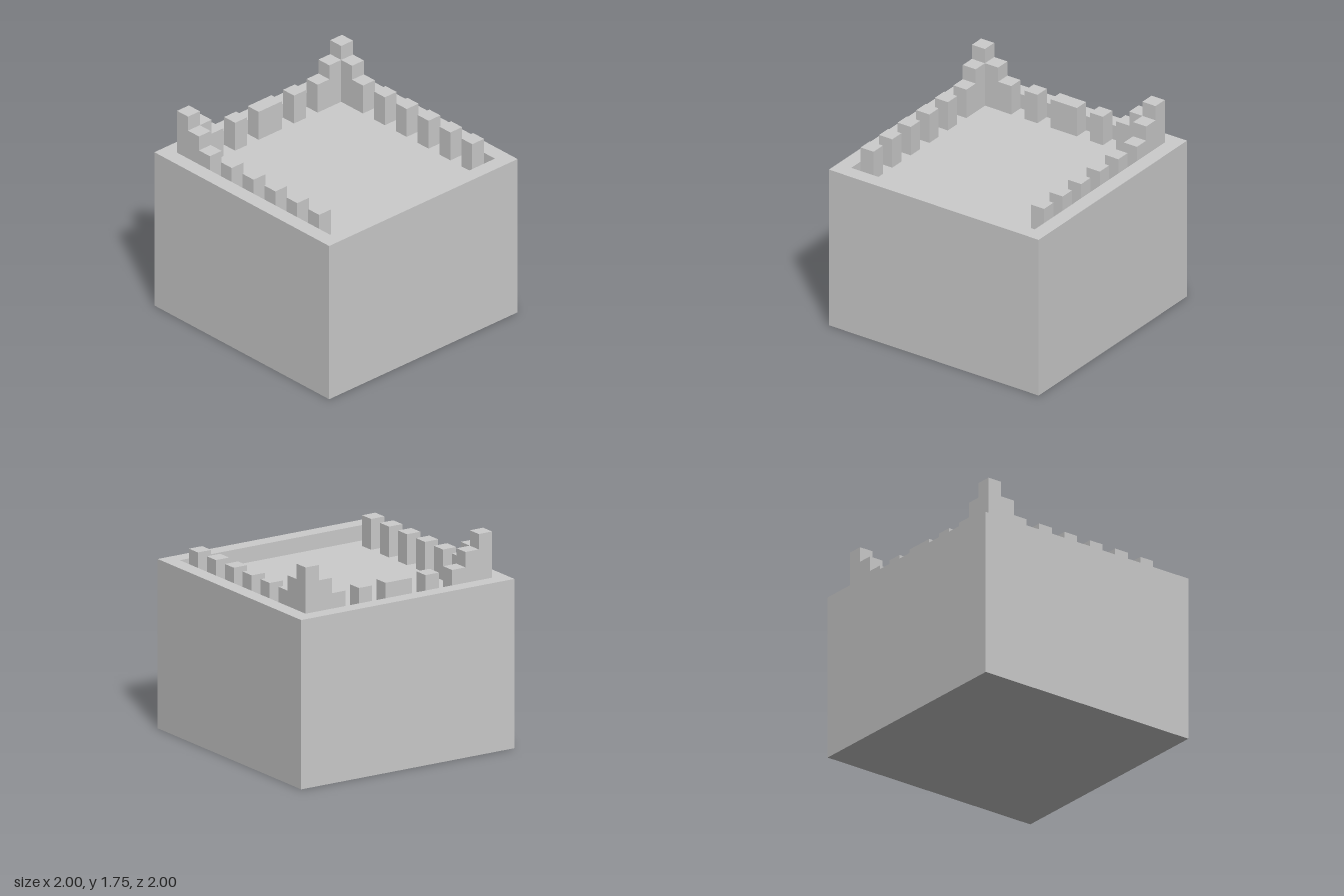
import * as THREE from 'three';

const U = 0.125;          // one building module
const FLOOR = 10 * U;     // height of the sunken roof deck
const EDGE = 7 * U;       // inside face of the parapet

export function createModel() {
  const model = new THREE.Group();
  model.name = 'battlementedBlock';
  const material = new THREE.MeshStandardMaterial({ color: 0xcccccc, flatShading: true });

  const add = (name, geometry, x, y, z, turn = 0) => {
    const mesh = new THREE.Mesh(geometry, material);
    mesh.name = name;
    mesh.position.set(x, y, z);
    mesh.rotation.y = turn;
    model.add(mesh);
  };

  // Square body with a shallow recess in its top: a four-sided lathe
  const profile = [[0, 0], [1, 0], [1, 11 * U], [EDGE, 11 * U], [EDGE, FLOOR], [0, FLOOR]]
    .map(([r, y]) => new THREE.Vector2(r * Math.SQRT2, y));
  const body = new THREE.LatheGeometry(profile, 4, Math.PI / 4).toNonIndexed();
  body.computeVertexNormals();
  add('body', body, 0, 0, 0);

  // Merlons standing on the deck against the parapet
  const merlon = (name, x, z, width = U) =>
    add(name, new THREE.BoxGeometry(width, 2 * U, U), x, FLOOR + U, z);
  merlon('backCentreMerlon', 0, -6.5 * U, 2 * U);
  for (const [side, s] of [['left', 1], ['right', -1]]) {
    merlon(side + 'BackMerlon', s * 2.5 * U, -6.5 * U);
    for (let i = 0; i < 5; i++) merlon(side + 'SideMerlon' + (i + 1), s * 6.5 * U, (2 * i - 2.5) * U);
  }

  // Stepped wall, one module thick, descending along its own +x
  const steps = (heights) => {
    const shape = new THREE.Shape();
    shape.moveTo(0, 0);
    heights.forEach((h, i) => {
      shape.lineTo(i * U, h * U);
      shape.lineTo((i + 1) * U, h * U);
    });
    shape.lineTo(heights.length * U, 0);
    return new THREE.ExtrudeGeometry(shape, { depth: U, bevelEnabled: false });
  };

  // Back corners: a full flight with a shorter one at right angles
  const full = steps([4, 3, 2]);
  const short = steps([3, 2]);
  add('rightCornerBackSteps', full, -EDGE, FLOOR, -EDGE);
  add('rightCornerSideSteps', short, -6 * U, FLOOR, -6 * U, -Math.PI / 2);
  add('leftCornerSideSteps', full, EDGE, FLOOR, -EDGE, -Math.PI / 2);
  add('leftCornerBackSteps', short, 6 * U, FLOOR, -6 * U, Math.PI);

  return model;
}
